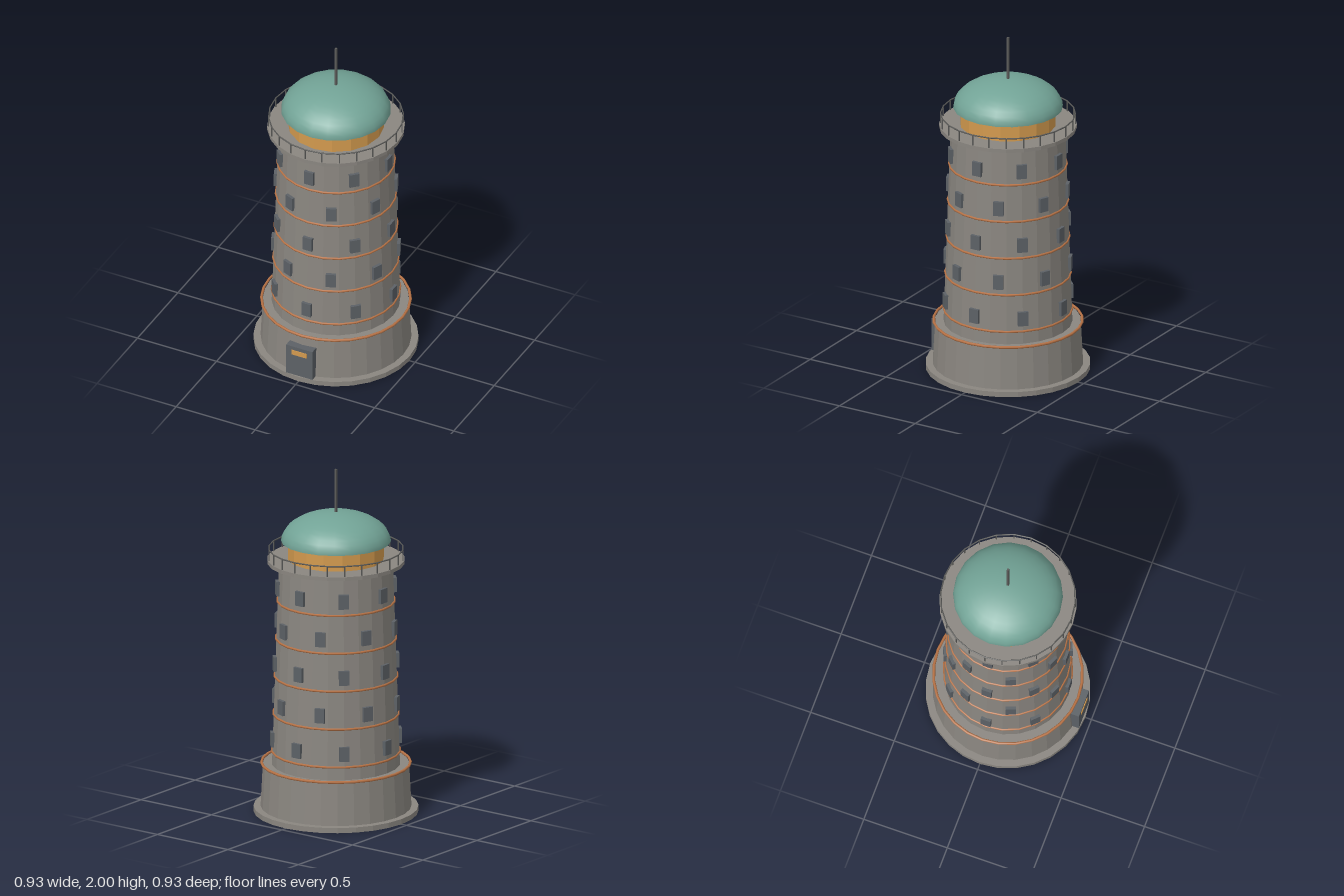
import * as THREE from 'three';

export function createModel() {
  const model = new THREE.Group();
  model.name = 'roundTower';

  const mat = (name, color, opts = {}) => {
    const m = new THREE.MeshStandardMaterial({ color, ...opts });
    m.name = name;
    return m;
  };
  const stone = mat('stone', 0x8a8680, { flatShading: true });
  const copper = mat('copper', 0xb87346);
  const glass = mat('darkGlass', 0x5c6166);
  const metal = mat('darkMetal', 0x5a5a58);
  const amber = mat('amberLight', 0xd39a4e, { flatShading: true });
  const verdigris = mat('verdigris', 0x72a396, { side: THREE.DoubleSide });

  const add = (name, geometry, material, x = 0, y = 0, z = 0, parent = model) => {
    const mesh = new THREE.Mesh(geometry, material);
    mesh.name = name;
    mesh.position.set(x, y, z);
    parent.add(mesh);
    return mesh;
  };
  // Upright drum between two heights
  const drum = (name, rBottom, rTop, y0, y1, sides, material) =>
    add(name, new THREE.CylinderGeometry(rTop, rBottom, y1 - y0, sides), material, 0, (y0 + y1) / 2);
  // Horizontal ring
  const ring = (name, radius, tube, y, sides, material) => {
    const mesh = add(name, new THREE.TorusGeometry(radius, tube, 6, sides), material, 0, y);
    mesh.rotation.x = Math.PI / 2;
    return mesh;
  };
  const radiusAt = (y) => 0.363 - ((y - 0.28) / 1.18) * 0.04;

  // Base and tapered shaft
  drum('foundation', 0.465, 0.465, 0, 0.03, 28, stone);
  drum('baseDrum', 0.425, 0.412, 0.03, 0.28, 28, stone);
  ring('baseBand', 0.42, 0.008, 0.284, 28, copper);
  drum('shaft', radiusAt(0.28), radiusAt(1.46), 0.28, 1.46, 24, stone);

  // Five storeys, each with a copper band and eight staggered windows
  const windowGeometry = new THREE.BoxGeometry(0.058, 0.084, 0.04);
  for (let floor = 0; floor < 5; floor++) {
    const bandY = 0.355 + floor * 0.22;
    ring('shaftBand', radiusAt(bandY) + 0.001, 0.007, bandY, 24, copper);
    const y = 0.432 + floor * 0.221;
    for (let i = 0; i < 8; i++) {
      const angle = (i + (floor % 2) * 0.5) * Math.PI / 4;
      const r = radiusAt(y) - 0.006;
      const pane = add('window', windowGeometry, glass, Math.sin(angle) * r, y, Math.cos(angle) * r);
      pane.rotation.y = angle;
    }
  }

  // Door with a small lit panel
  add('door', new THREE.BoxGeometry(0.166, 0.19, 0.06), glass, 0, 0.125, 0.425);
  add('doorLight', new THREE.BoxGeometry(0.096, 0.03, 0.006), amber, 0, 0.182, 0.456);

  // Gallery deck and railing
  drum('galleryDeck', 0.388, 0.388, 1.455, 1.477, 24, stone);
  const railing = new THREE.Group();
  railing.name = 'railing';
  model.add(railing);
  railing.add(ring('topRail', 0.38, 0.004, 1.538, 24, metal));
  const postGeometry = new THREE.BoxGeometry(0.006, 0.064, 0.006);
  for (let i = 0; i < 24; i++) {
    const a = (i * Math.PI) / 12;
    const post = add('railPost', postGeometry, metal, Math.sin(a) * 0.38, 1.507, Math.cos(a) * 0.38, railing);
    post.rotation.y = a;
  }

  // Lantern room, dome and mast
  drum('lanternRoom', 0.272, 0.272, 1.477, 1.585, 16, amber);
  const dome = add('dome', new THREE.SphereGeometry(0.31, 20, 10, 0, Math.PI * 2, 0, Math.PI / 2), verdigris, 0, 1.58);
  dome.scale.y = 0.17 / 0.31;
  add('mast', new THREE.BoxGeometry(0.012, 0.26, 0.012), metal, 0, 1.87);

  return model;
}
